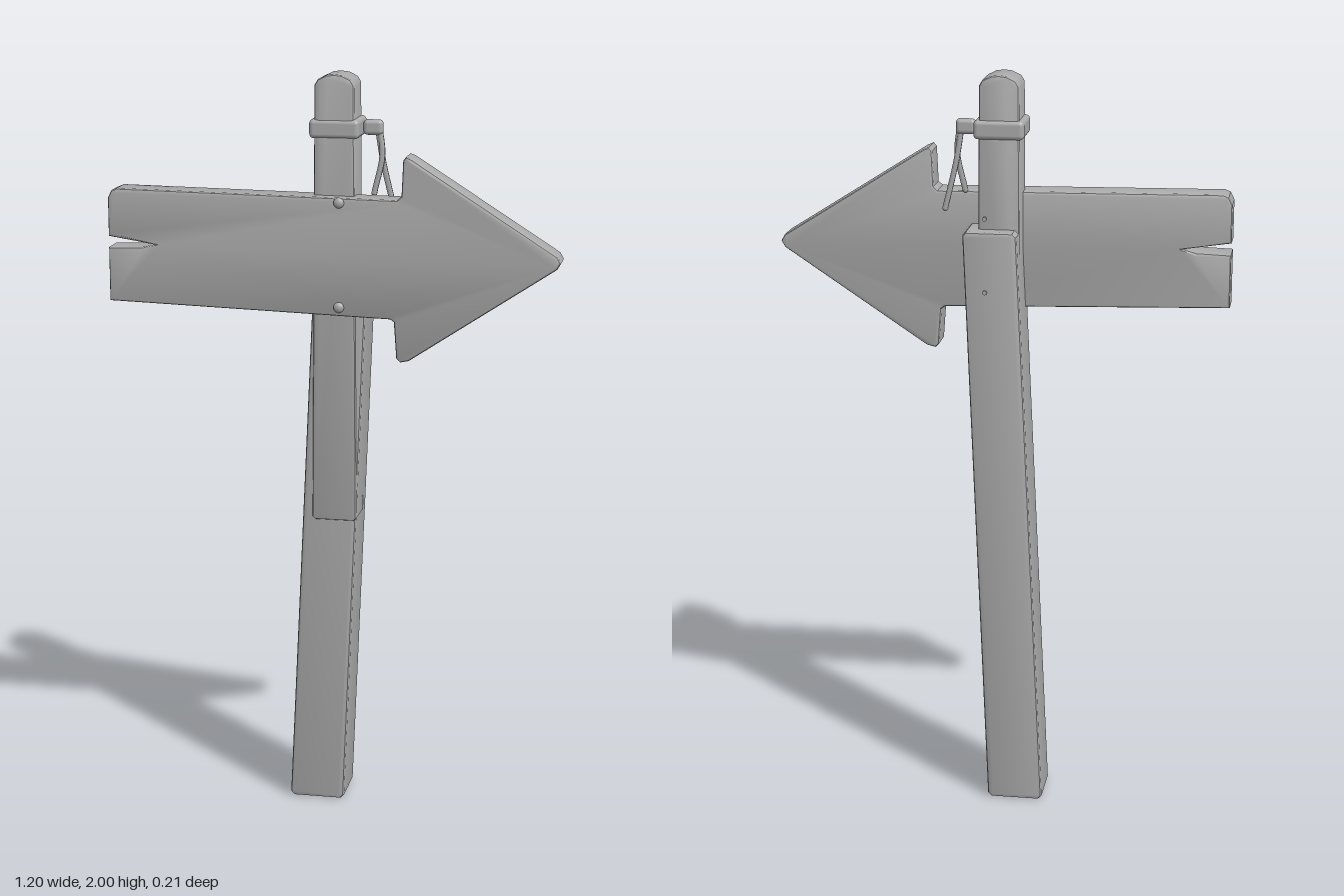
import * as THREE from 'three';
import { toCreasedNormals } from 'three/addons/utils/BufferGeometryUtils.js';
import { RoundedBoxGeometry } from 'three/addons/geometries/RoundedBoxGeometry.js';

export function createModel() {
  const group = new THREE.Group();
  const grey = new THREE.MeshStandardMaterial({ color: 0xaaaaaa });
  grey.name = 'grey';

  const add = (name, geometry, x = 0, y = 0, z = 0) => {
    const mesh = new THREE.Mesh(geometry, grey);
    mesh.name = name;
    mesh.position.set(x, y, z);
    group.add(mesh);
    return mesh;
  };

  // Bevelled plank: an xy outline filling the space from zBack to zFront
  const plank = (name, points, zBack, zFront, bevel) => {
    const shape = new THREE.Shape(points.map(([x, y]) => new THREE.Vector2(x, y)));
    const geometry = new THREE.ExtrudeGeometry(shape, {
      depth: zFront - zBack - 2 * bevel,
      bevelThickness: bevel, bevelSize: bevel, bevelOffset: -bevel, bevelSegments: 2,
    });
    geometry.translate(0, 0, zBack + bevel);
    return add(name, toCreasedNormals(geometry, 0.6));
  };

  // Leaning main post
  plank('mainPost', [
    [-0.125, 0.01], [-0.115, 0], [0.015, 0], [0.025, 0.01],
    [0.09, 1.59], [0.08, 1.6], [-0.042, 1.6], [-0.052, 1.59],
  ], -0.1, 0.05, 0.01);

  // Slimmer upright post with an arched top
  plank('upperPost', [
    [-0.06, 0.815], [-0.053, 0.808], [0.053, 0.808], [0.06, 0.815],
    [0.052, 1.972], [0.043, 1.987], [0.02, 1.998], [0, 2],
    [-0.02, 1.998], [-0.043, 1.987], [-0.052, 1.972],
  ], -0.057, 0.058, 0.008);

  // Arrow board with a split in its tail
  plank('arrowBoard', [
    [-0.6, 1.395], [0.155, 1.372], [0.165, 1.365], [0.172, 1.268], [0.182, 1.258], [0.205, 1.263],
    [0.588, 1.518], [0.598, 1.535], [0.588, 1.552],
    [0.21, 1.792], [0.195, 1.798], [0.187, 1.788], [0.183, 1.695], [0.172, 1.685],
    [-0.575, 1.696], [-0.59, 1.69], [-0.6, 1.67],
    [-0.6, 1.568], [-0.475, 1.549], [-0.51, 1.541], [-0.6, 1.538],
  ], 0.01, 0.095, 0.008);

  // Strap around the post and its knot
  add('strap', new RoundedBoxGeometry(0.132, 0.05, 0.127, 3, 0.012), 0, 1.86, -0.001);
  add('knot', new RoundedBoxGeometry(0.052, 0.04, 0.026, 3, 0.011), 0.093, 1.86, -0.006);

  // Two loose strap ends hanging from the knot
  const tails = [
    [[0.11, 1.855, -0.006], [0.118, 1.79, 0.002], [0.098, 1.69, 0.008]],
    [[0.105, 1.855, -0.006], [0.118, 1.77, -0.012], [0.147, 1.645, -0.018]],
  ];
  for (const points of tails) {
    const curve = new THREE.CatmullRomCurve3(points.map((p) => new THREE.Vector3(...p)));
    add('strapTail', new THREE.TubeGeometry(curve, 10, 0.008, 6));
    const cap = add('strapTailEnd', new THREE.SphereGeometry(0.008, 8, 6));
    cap.position.set(...points[2]);
  }

  // Round nail heads on the board, small nail tips behind
  for (const y of [1.675, 1.4]) {
    const head = add('nailHead', new THREE.SphereGeometry(0.014, 14, 10), 0.02, y, 0.096);
    head.scale.z = 0.7;
  }
  for (const y of [1.637, 1.442]) {
    const tip = add('nailTip', new THREE.CylinderGeometry(0.006, 0.006, 0.012, 8), 0.03, y, -0.1);
    tip.rotation.x = Math.PI / 2;
  }

  return group;
}
